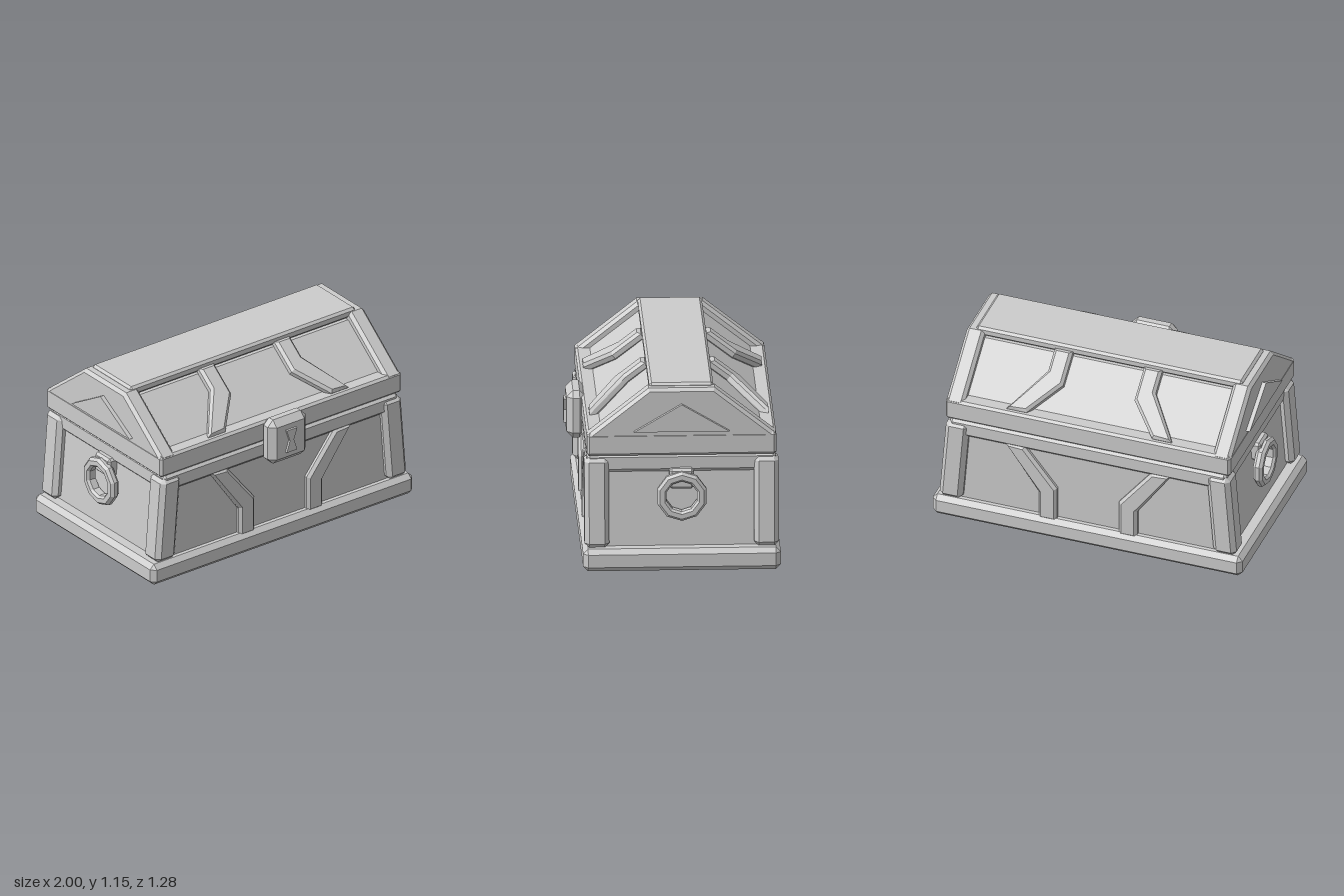
import * as THREE from 'three';
import { ConvexGeometry } from 'three/addons/geometries/ConvexGeometry.js';

const grey = new THREE.MeshStandardMaterial({ color: 0xcccccc });
grey.name = 'plain grey';

function add(parent, name, geometry) {
  const flat = geometry.index ? geometry.toNonIndexed() : geometry;
  flat.computeVertexNormals();
  const mesh = new THREE.Mesh(flat, grey);
  mesh.name = name;
  parent.add(mesh);
  return mesh;
}

// Box with every edge cut by c, standing on y = 0
function chamferBox(w, h, d, c) {
  const points = [];
  for (const sx of [-1, 1]) for (const sy of [-1, 1]) for (const sz of [-1, 1]) {
    for (let full = 0; full < 3; full++) {
      points.push(new THREE.Vector3(
        sx * (w / 2 - (full === 0 ? 0 : c)),
        sy * (h / 2 - (full === 1 ? 0 : c)) + h / 2,
        sz * (d / 2 - (full === 2 ? 0 : c))));
    }
  }
  return new ConvexGeometry(points);
}

// Bevelled plate cut from an outline, reaching from z = 0 to z = depth
function plate(outline, depth, bevel) {
  const shape = new THREE.Shape(outline.map(([x, y]) => new THREE.Vector2(x, y)));
  return new THREE.ExtrudeGeometry(shape, {
    depth: depth - 2 * bevel, bevelEnabled: bevel > 0, bevelSize: bevel,
    bevelThickness: bevel, bevelOffset: -bevel, bevelSegments: 1,
  }).translate(0, 0, bevel);
}

// Moves x in proportion to height
function lean(geometry, rule) {
  const p = geometry.attributes.position;
  for (let i = 0; i < p.count; i++) p.setX(i, rule(p.getX(i), p.getY(i)));
  return geometry;
}

const mirrorX = (outline, s) => outline.map(([x, y]) => [s * x, y]);

export function createModel() {
  const model = new THREE.Group();
  model.name = 'chest';
  const chest = new THREE.Group();
  chest.name = 'chestBody';
  chest.position.z = -0.04;
  model.add(chest);

  // Lower box: plinth, tapered walls, rim
  add(chest, 'plinth', chamferBox(2, 0.14, 1.2, 0.03));
  const walls = new THREE.BoxGeometry(1.82, 0.56, 1.09).translate(0, 0.28, 0);
  add(chest, 'walls', lean(walls, (x, y) => x * (1 - 0.09 * y))).position.y = 0.13;
  add(chest, 'rim', chamferBox(1.79, 0.115, 1.15, 0.02)).position.y = 0.602;

  // Leaning corner posts
  for (const sx of [-1, 1]) for (const sz of [-1, 1]) {
    const post = lean(chamferBox(0.15, 0.56, 0.15, 0.028), (x, y) => x - sx * 0.08 * y);
    add(chest, 'cornerPost', post).position.set(sx * 0.885, 0.138, sz * 0.515);
  }

  // Lid: band, sloped panels, top board
  add(chest, 'lidBand', chamferBox(1.84, 0.14, 1.15, 0.015)).position.y = 0.713;
  const panelOutline = [[-0.49, 0.8], [0.49, 0.8], [0.49, 0.85], [0.19, 1.085], [-0.19, 1.085], [-0.49, 0.85]];
  add(chest, 'lidPanels', plate(panelOutline, 1.66, 0).translate(0, 0, -0.83).rotateY(Math.PI / 2));
  add(chest, 'lidTopBoard', chamferBox(1.72, 0.06, 0.39, 0.015)).position.y = 1.095;

  // Lid ends, each with a raised triangle
  const ribOutline = [[-0.57, 0.74], [0.57, 0.74], [0.57, 0.845], [0.2, 1.138], [-0.2, 1.138], [-0.57, 0.845]];
  const triangle = [[-0.29, 0.87], [0.29, 0.87], [0, 1.042]];
  for (const s of [-1, 1]) {
    const rib = plate(ribOutline, 0.116, 0.02).translate(0, 0, 0.802);
    add(chest, 'lidEnd', rib.rotateY(s * Math.PI / 2));
    const tri = plate(triangle, 0.035, 0).translate(0, 0, 0.908);
    add(chest, 'endTriangle', tri.rotateY(s * Math.PI / 2));
  }

  // Bent straps on front and back
  const wallStrap = [[0.2, 0.12], [0.318, 0.12], [0.318, 0.31], [0.535, 0.62], [0.41, 0.62], [0.2, 0.355]];
  const lidStrap = [[0.23, 0.47], [0.347, 0.47], [0.347, 0.32], [0.535, 0.035], [0.405, 0.035], [0.23, 0.25]];
  for (const turn of [0, Math.PI]) {
    const face = new THREE.Group();
    face.name = turn ? 'backStraps' : 'frontStraps';
    face.rotation.y = turn;
    chest.add(face);
    const slope = new THREE.Group();
    slope.name = 'lidSlope';
    slope.position.set(0, 0.84, 0.575);
    slope.rotation.x = -0.915;
    face.add(slope);
    for (const s of [-1, 1]) {
      add(face, 'wallStrap', plate(mirrorX(wallStrap, s), 0.06, 0.018)).position.z = 0.52;
      add(slope, 'lidStrap', plate(mirrorX(lidStrap, s), 0.065, 0.018)).position.z = -0.053;
    }
  }

  // Ring handles on the ends
  const ringProfile = [[0.097, 0], [0.14, 0], [0.156, 0.018], [0.156, 0.042], [0.14, 0.06],
    [0.11, 0.06], [0.097, 0.045], [0.097, 0]].map(([r, y]) => new THREE.Vector2(r, y));
  for (const s of [-1, 1]) {
    const handle = new THREE.Group();
    handle.name = 'handle';
    handle.position.set(s * 0.908, 0.462, 0);
    handle.rotation.y = s * Math.PI / 2;
    chest.add(handle);
    add(handle, 'ring', new THREE.LatheGeometry(ringProfile, 10).rotateX(Math.PI / 2));
    add(handle, 'ringBracket', chamferBox(0.15, 0.128, 0.09, 0.015)).position.set(0, 0.04, -0.02);
  }

  // Front latch with a raised keyplate
  add(chest, 'latch', chamferBox(0.29, 0.3, 0.12, 0.04)).position.set(0, 0.575, 0.606);
  const keyOutline = [[-0.04, 0.65], [0.04, 0.65], [0.015, 0.725], [0.04, 0.8],
    [-0.04, 0.8], [-0.015, 0.725]];
  add(chest, 'latchKeyplate', plate(keyOutline, 0.025, 0)).position.z = 0.655;

  return model;
}
